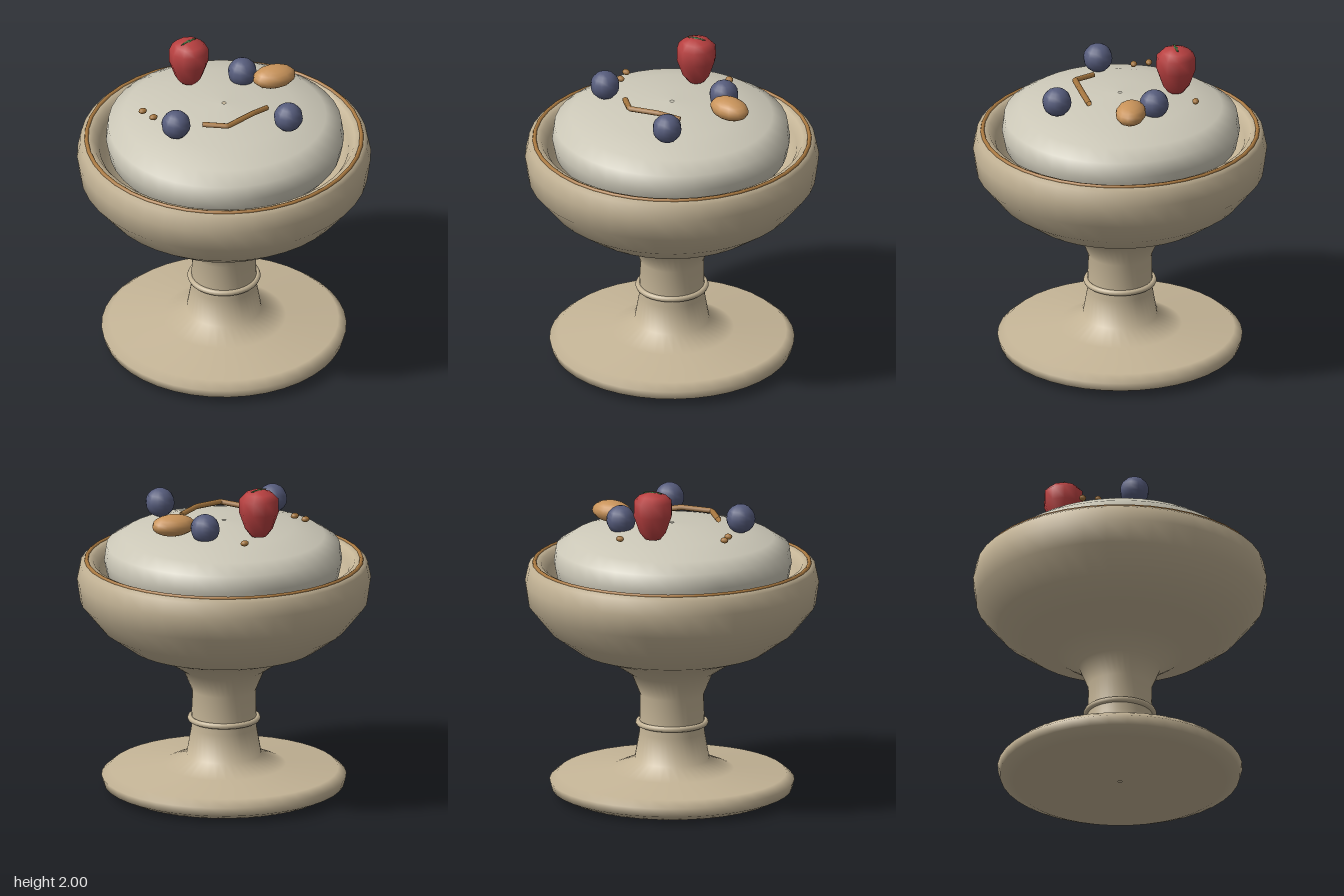
import * as THREE from 'three';

const mat = (color) => new THREE.MeshStandardMaterial({ color, side: THREE.DoubleSide });

export function createModel() {
  const root = new THREE.Group();
  const stone = mat(0xc4b496), gold = mat(0xa87840), cream = mat(0xccc8b8);
  const red = mat(0xb84040), green = mat(0x3f6b3a), blue = mat(0x565c7c), tan = mat(0xc8935a);

  const add = (name, geometry, material, x = 0, y = 0, z = 0) => {
    const mesh = new THREE.Mesh(geometry, material);
    mesh.name = name;
    mesh.position.set(x, y, z);
    root.add(mesh);
    return mesh;
  };
  const lathe = (points, sides) =>
    new THREE.LatheGeometry(points.map(([r, y]) => new THREE.Vector2(r, y)), sides);
  const ring = (name, radius, tube, y, material) => {
    const mesh = add(name, new THREE.TorusGeometry(radius, tube, 8, 40), material, 0, y, 0);
    mesh.rotation.x = Math.PI / 2;
  };

  // Footed bowl: foot, stem, outer wall, rim and inner wall in one profile
  add('bowl', lathe([
    [0.012, 0], [0.65, 0.005], [0.735, 0.045], [0.75, 0.1], [0.7, 0.142], [0.38, 0.167],
    [0.23, 0.23], [0.2, 0.4], [0.195, 0.64], [0.25, 0.77], [0.4, 0.87], [0.59, 0.935],
    [0.75, 1.05], [0.88, 1.21], [0.9, 1.35], [0.88, 1.445], [0.845, 1.472], [0.8, 1.46],
    [0.765, 1.41], [0.73, 1.3], [0.55, 1.1], [0.012, 1.0],
  ], 40), stone);
  ring('stemRing', 0.206, 0.018, 0.46, stone);
  ring('rimBand', 0.842, 0.013, 1.465, gold);

  // Creamy filling, its outline slightly uneven
  const filling = lathe([
    [0.66, 1.32], [0.71, 1.38], [0.728, 1.47], [0.715, 1.565], [0.62, 1.625],
    [0.43, 1.68], [0.2, 1.708], [0.012, 1.718],
  ], 40);
  const p = filling.attributes.position;
  for (let i = 0; i < p.count; i++) {
    const a = Math.atan2(p.getZ(i), p.getX(i));
    const k = 1 + 0.008 * Math.sin(3 * a + 0.8);
    p.setX(i, p.getX(i) * k);
    p.setZ(i, p.getZ(i) * k);
  }
  add('filling', filling, cream);

  // Strawberry with a small leaf cap
  add('strawberry', lathe([
    [0, 1.69], [0.05, 1.7], [0.085, 1.745], [0.122, 1.85], [0.12, 1.935], [0.085, 1.97], [0.035, 1.99], [0, 1.99],
  ], 10), red, -0.107, 0, -0.33);
  add('strawberryCap', new THREE.ConeGeometry(0.042, 0.025, 8), green, -0.107, 1.986, -0.33);
  const leaf = add('strawberryLeaf', new THREE.SphereGeometry(1, 8, 4), green, -0.107, 1.987, -0.33);
  leaf.scale.set(0.065, 0.008, 0.009);
  leaf.rotation.y = 0.35;

  // Blueberries
  for (const [x, y, z] of [[0.21, 1.75, -0.24], [0.289, 1.763, 0.35], [-0.385, 1.765, 0.19]]) {
    add('blueberry', new THREE.SphereGeometry(0.09, 12, 10), blue, x, y, z);
  }

  // Nut and crumbs
  const nut = add('nut', new THREE.SphereGeometry(1, 12, 10), tan, 0.372, 1.755, -0.118);
  nut.scale.set(0.137, 0.067, 0.093);
  for (const [x, z] of [[-0.49, -0.11], [-0.453, -0.022], [0.037, -0.472]]) {
    const crumb = add('crumb', new THREE.SphereGeometry(1, 8, 6), gold, x, 1.704, z);
    crumb.scale.set(0.027, 0.018, 0.021);
  }

  // Bent twig of straight segments
  const twig = new THREE.CurvePath();
  const bends = [[-0.21, 1.728, 0.195], [-0.083, 1.745, 0.29], [0.1, 1.752, 0.222], [0.22, 1.73, 0.16]]
    .map((c) => new THREE.Vector3(...c));
  for (let i = 0; i < 3; i++) twig.add(new THREE.LineCurve3(bends[i], bends[i + 1]));
  add('twig', new THREE.TubeGeometry(twig, 24, 0.018, 6), gold);

  return root;
}
